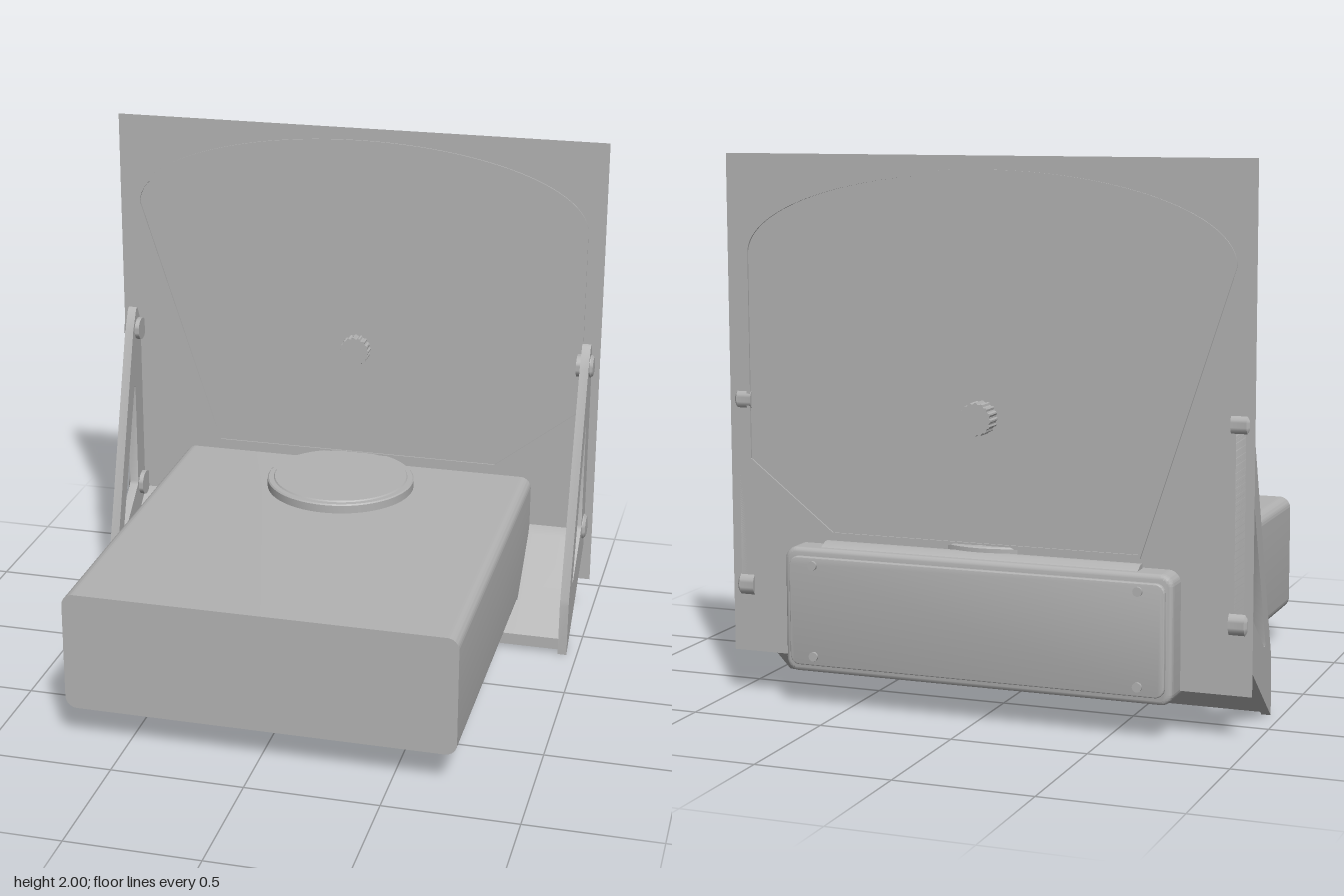
import * as THREE from 'three';
import { toCreasedNormals } from 'three/addons/utils/BufferGeometryUtils.js';

export function createModel() {
  const group = new THREE.Group();
  const grey = new THREE.MeshStandardMaterial({ color: 0xb2b2b2 });
  grey.name = 'grey';
  const greySheet = grey.clone();
  greySheet.side = THREE.DoubleSide;
  greySheet.name = 'grey sheet';

  const add = (name, geometry, x = 0, y = 0, z = 0, material = grey) => {
    const mesh = new THREE.Mesh(geometry, material);
    mesh.name = name;
    mesh.position.set(x, y, z);
    group.add(mesh);
    return mesh;
  };
  const extrude = (shape, depth, bevel = 0) => toCreasedNormals(new THREE.ExtrudeGeometry(shape, {
    depth, curveSegments: 24, bevelEnabled: bevel > 0, bevelSize: bevel,
    bevelThickness: bevel, bevelOffset: -bevel, bevelSegments: 3,
  }), 0.6);
  const polygon = (points) => new THREE.Shape(points.map(([a, b]) => new THREE.Vector2(a, b)));

  // Rounded rectangle centred on the origin
  const roundedRect = (w, h, r) => {
    const s = new THREE.Shape();
    s.absarc(w / 2 - r, h / 2 - r, r, 0, Math.PI / 2);
    s.absarc(r - w / 2, h / 2 - r, r, Math.PI / 2, Math.PI);
    s.absarc(r - w / 2, r - h / 2, r, Math.PI, Math.PI * 1.5);
    s.absarc(w / 2 - r, r - h / 2, r, Math.PI * 1.5, Math.PI * 2);
    s.closePath();
    return s;
  };

  // Long housing with a softened rear edge
  const midY = 0.36;
  add('housing', extrude(roundedRect(1.47, 0.46, 0.045), 1.59), 0, midY, -0.775);
  add('housingRearEdge', extrude(roundedRect(1.47, 0.46, 0.045), 0.004, 0.017), 0, midY, -0.777);
  add('rearPlate', extrude(roundedRect(1.42, 0.4, 0.035), 0.02, 0.004), 0, midY, -0.806);

  // Rear plate screws
  const screw = new THREE.CylinderGeometry(0.017, 0.017, 0.02, 16).rotateX(Math.PI / 2);
  for (const x of [-0.615, 0.615]) {
    for (const y of [0.195, 0.53]) add('screw', screw, x, y, -0.81);
  }

  // Sloped ridge on the rear of the housing top
  const ridge = extrude(polygon([[0.715, 0.58], [0.775, 0.58], [0.765, 0.592], [0.735, 0.607], [0.715, 0.607]]), 1.2);
  add('topRidge', ridge.rotateY(Math.PI / 2), -0.6);

  // Round turntable with a stepped lip
  const disc = [[0, 0.585], [0.295, 0.585], [0.295, 0.622], [0.29, 0.627], [0.27, 0.627], [0.266, 0.632], [0, 0.632]];
  const discGeometry = new THREE.LatheGeometry(disc.map(([r, y]) => new THREE.Vector2(r, y)), 64);
  add('topDisc', toCreasedNormals(discGeometry, 0.5), 0, 0, -0.437);

  // Upright sheet and the raised outline on it
  add('panel', new THREE.PlaneGeometry(1.985, 1.835), 0, 1.0825, -0.7, greySheet);
  const trace = (path, inset) => {
    const w = 0.924 - inset;
    path.moveTo(-0.588 + inset * 0.35, 0.62 + inset);
    path.lineTo(0.588 - inset * 0.35, 0.62 + inset);
    path.lineTo(w, 0.882 + inset * 0.5);
    path.lineTo(w, 1.64);
    path.absellipse(0, 1.64, w, 0.312 - inset, 0, Math.PI, false, 0);
    path.closePath();
    return path;
  };
  const outline = trace(new THREE.Shape(), 0);
  outline.holes.push(trace(new THREE.Path(), 0.014));
  add('outlineRim', extrude(outline, 0.012), 0, 0, -0.706);

  // Fluted knob through the sheet
  const flutes = [];
  for (let i = 0; i < 64; i++) {
    const a = (i / 64) * Math.PI * 2;
    const r = i % 4 < 2 ? 0.06 : 0.055;
    flutes.push([r * Math.cos(a), r * Math.sin(a)]);
  }
  add('knob', extrude(polygon(flutes), 0.118), 0, 1.085, -0.77);

  // Side bracket profile: first coordinate runs to the rear
  const profile = polygon([
    [0.32, 0], [0.7, 0.315], [0.7, 1.13], [0.67, 1.188], [0.66, 1.198],
    [0.648, 1.19], [0.605, 1.11], [0.33, 0.235], [0.325, 0.21],
  ]);
  profile.holes.push(new THREE.Path([
    [0.41, 0.275], [0.425, 0.275], [0.605, 0.425], [0.612, 0.44],
    [0.612, 0.865], [0.605, 0.873], [0.6, 0.867], [0.41, 0.29],
  ].map(([a, b]) => new THREE.Vector2(a, b))));
  const bracket = extrude(profile, 0.035).rotateY(Math.PI / 2);

  // Sloped foot plates: a wide tab below the housing, a narrow strip beside it
  const tab = extrude(polygon([[0.335, 0.013], [0.475, 0.129], [0.45, 0.155], [0.335, 0.06]]), 0.16);
  tab.rotateY(Math.PI / 2);
  const strip = extrude(polygon([[0.335, 0.013], [0.7, 0.315], [0.7, 0.385], [0.68, 0.35], [0.335, 0.06]]), 0.19);
  strip.rotateY(Math.PI / 2);

  // Pivot bolt with a domed head
  const bolt = (r) => {
    const points = [[0, -0.035], [r, -0.035], [r, 0.022], [r * 0.8, 0.031], [0, 0.034]];
    const geometry = new THREE.LatheGeometry(points.map(([a, b]) => new THREE.Vector2(a, b)), 32);
    return toCreasedNormals(geometry, 0.6);
  };

  for (const side of [-1, 1]) {
    add('sideBracket', bracket, side * 0.9425 - 0.0175);
    add('footTab', tab, side * 0.655 - 0.08);
    add('footStrip', strip, side * 0.83 - 0.095);
    for (const [r, y] of [[0.045, 1.105], [0.05, 0.415]]) {
      add('pivotBolt', bolt(r), side * 0.942, y, -0.667).rotation.z = -side * Math.PI / 2;
    }
  }
  return group;
}
